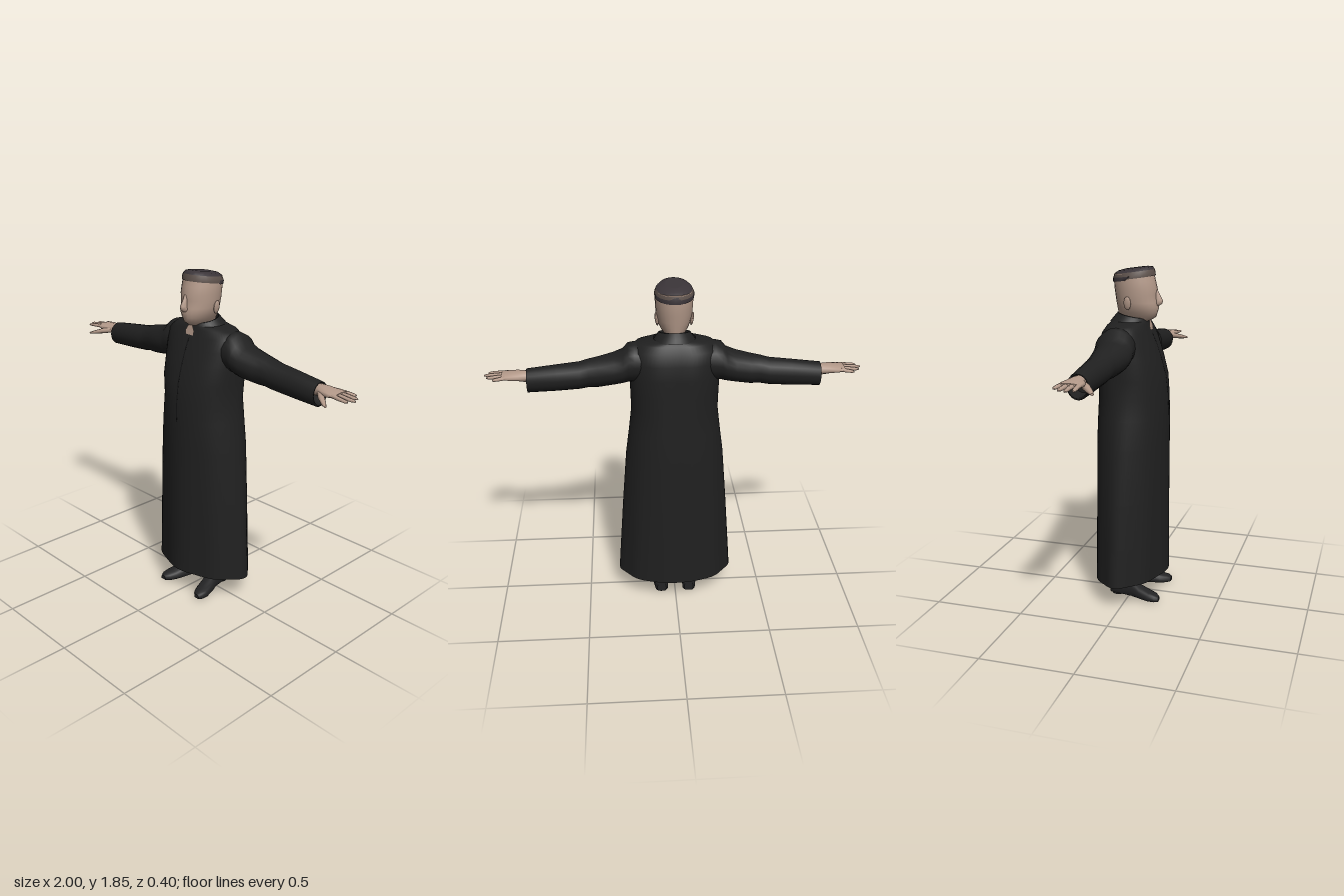
import * as THREE from 'three';

const mat = (name, color) => {
  const m = new THREE.MeshStandardMaterial({ color, side: THREE.DoubleSide });
  m.name = name;
  return m;
};

// Skin a list of closed rings, with optional flat caps at the ends
function loft(rings, capStart = false, capEnd = false) {
  const n = rings[0].length, pos = [], idx = [];
  rings.forEach(r => r.forEach(p => pos.push(...p)));
  for (let i = 0; i < rings.length - 1; i++) {
    for (let j = 0; j < n; j++) {
      const a = i * n + j, b = i * n + (j + 1) % n;
      idx.push(a, b, b + n, a, b + n, a + n);
    }
  }
  const cap = (ring, flip) => {
    const base = pos.length / 3;
    const c = [0, 1, 2].map(k => ring.reduce((s, p) => s + p[k], 0) / n);
    ring.forEach(p => pos.push(...p));
    pos.push(...c);
    for (let j = 0; j < n; j++) {
      const a = base + j, b = base + (j + 1) % n;
      flip ? idx.push(b, a, base + n) : idx.push(a, b, base + n);
    }
  };
  if (capStart) cap(rings[0], true);
  if (capEnd) cap(rings[rings.length - 1], false);
  const g = new THREE.BufferGeometry();
  g.setAttribute('position', new THREE.Float32BufferAttribute(pos, 3));
  g.setIndex(idx);
  g.computeVertexNormals();
  return g;
}

const around = (n, f) => Array.from({ length: n }, (_, j) => f(j / n * Math.PI * 2));
const spow = (v, e) => Math.sign(v) * Math.abs(v) ** e;

// Horizontal ring: height, half width, front z, back z
function level([y, hw, zf, zb], n, { e = 1, mid = (zf + zb) / 2, fold = () => 1, tilt = 0 } = {}) {
  return around(n, a => {
    const k = fold(a, y), c = spow(Math.cos(a), e);
    const z = mid + (c > 0 ? zf - mid : mid - zb) * c * k;
    return [hw * spow(Math.sin(a), e) * k, y + tilt * z, z];
  });
}

// Limb running outward along x: x, centre y, radius y, centre z, radius z
const limb = (rows, side, n) => rows.map(([x, cy, ry, cz, rz]) =>
  around(n, a => [side * x, cy + ry * Math.cos(a), cz + rz * Math.sin(a * side)]));

export function createModel() {
  const cloth = mat('black cloth', 0x202020);
  const seam = mat('seam black', 0x141415);
  const leather = mat('shoe leather', 0x232324);
  const skin = mat('skin', 0xb49a8a);
  const hairDark = mat('dark hair', 0x3a3438);
  const hairFade = mat('faded hair', 0x5e524c);
  const root = new THREE.Group();
  const add = (name, geo, m, parent = root) => {
    const mesh = new THREE.Mesh(geo, m);
    mesh.name = name;
    parent.add(mesh);
    return mesh;
  };

  // Long robe: pleats deepen toward the hem, with a hollow down the back
  const pleat = (a, y) => {
    const t = THREE.MathUtils.clamp((1.2 - y) / 1.0, 0, 1);
    return 1 - t * (0.05 * Math.sin(2 * a) ** 2 + 0.04 * (0.5 - 0.5 * Math.cos(8 * a)))
      - 0.07 * Math.max(0, -Math.cos(a)) ** 30;
  };
  const robe = [
    [0.135, 0.325, 0.2, -0.212], [0.35, 0.31, 0.198, -0.209], [0.6, 0.292, 0.196, -0.204],
    [0.9, 0.268, 0.195, -0.2], [1.05, 0.248, 0.195, -0.193], [1.17, 0.234, 0.19, -0.186],
    [1.27, 0.236, 0.178, -0.183], [1.37, 0.24, 0.15, -0.182], [1.45, 0.243, 0.122, -0.176],
    [1.51, 0.24, 0.095, -0.155], [1.545, 0.2, 0.08, -0.132], [1.562, 0.11, 0.074, -0.116],
  ].map((r, i) => level(r, 60, { e: i < 6 ? 0.98 : 0.88, mid: -0.02, fold: pleat, tilt: i ? 0 : 0.05 }));
  add('robe', loft(robe), cloth);

  // Stand collar, lower in front
  const collar = [[1.535, 0.125, 0.085, -0.128], [1.56, 0.104, 0.08, -0.11], [1.588, 0.084, 0.074, -0.09],
    [1.59, 0.076, 0.066, -0.084], [1.55, 0.072, 0.06, -0.082]].map(r => level(r, 28, { tilt: -0.2 }));
  add('collar', loft(collar), cloth);

  // Neck opening and front seam
  const tab = new THREE.Shape([[-0.028, 0], [0.028, 0], [0.032, 0.022], [0.012, 0.055], [-0.012, 0.055], [-0.032, 0.022]]
    .map(p => new THREE.Vector2(...p)));
  const opening = add('neckOpening', new THREE.ShapeGeometry(tab), skin);
  opening.position.set(0, 1.515, 0.098);
  opening.rotation.x = -0.2;
  const seamPath = [[1.5, 0.1], [1.45, 0.1225], [1.37, 0.1505], [1.27, 0.1785], [1.17, 0.1905], [1.05, 0.1955]];
  const seamRings = seamPath.map(([y, z]) => [[0.003, y, z], [0.003, y, z + 0.001], [-0.003, y, z + 0.001], [-0.003, y, z]]);
  add('frontSeam', loft(seamRings), seam);

  // Sleeves, hands, legs and shoes, mirrored
  for (const s of [1, -1]) {
    const label = s > 0 ? 'left' : 'right';
    const sleeve = [
      [0.13, 1.44, 0.09, -0.035, 0.095], [0.21, 1.44, 0.107, -0.035, 0.103], [0.245, 1.437, 0.102, -0.035, 0.105],
      [0.27, 1.418, 0.09, -0.033, 0.104], [0.32, 1.403, 0.084, -0.032, 0.1], [0.4, 1.388, 0.08, -0.037, 0.083],
      [0.45, 1.383, 0.075, -0.038, 0.073], [0.5, 1.372, 0.072, -0.04, 0.072], [0.62, 1.361, 0.07, -0.04, 0.063],
      [0.775, 1.348, 0.064, -0.038, 0.056], [0.775, 1.35, 0.054, -0.038, 0.047], [0.7, 1.355, 0.05, -0.038, 0.045],
    ];
    add(label + 'Sleeve', loft(limb(sleeve, s, 20), false, true), cloth);

    const hand = new THREE.Group();
    hand.name = label + 'Hand';
    root.add(hand);
    const palm = [
      [0.7, 1.365, 0.03, -0.038, 0.034], [0.78, 1.372, 0.03, -0.036, 0.037], [0.82, 1.375, 0.025, -0.032, 0.052],
      [0.87, 1.377, 0.018, -0.032, 0.06], [0.905, 1.378, 0.012, -0.033, 0.055],
    ];
    add('palm', loft(limb(palm, s, 12), true, true), skin, hand);
    // Fingers: base z, tip x, tip z
    [[-0.074, 0.95, -0.088], [-0.047, 0.985, -0.052], [-0.019, 1.0, -0.016], [0.009, 0.98, 0.018]].forEach(([z0, x1, z1], i) => {
      const rows = [0, 0.45, 0.85, 1].map((t, k) => {
        const r = [0.014, 0.013, 0.0105, 0.005][k];
        return [0.885 + (x1 - 0.885) * t, 1.378 - 0.006 * t, r * 0.75, z0 + (z1 - z0) * t, r];
      });
      add('finger' + (i + 1), loft(limb(rows, s, 8), true, true), skin, hand);
    });
    const thumb = [[0.79, 1.37, 0.018, -0.015, 0.02], [0.83, 1.362, 0.016, 0.022, 0.024],
      [0.87, 1.352, 0.012, 0.054, 0.018], [0.9, 1.345, 0.006, 0.076, 0.008]];
    add('thumb', loft(limb(thumb, s, 8), true, true), skin, hand);

    const leg = [[0.06, 0.042, 0.0, -0.1], [0.13, 0.052, 0.015, -0.105], [0.6, 0.07, 0.06, -0.1]]
      .map(r => level(r, 14).map(([x, y, z]) => [x + s * 0.088, y, z]));
    add(label + 'Trouser', loft(leg, true, true), cloth);
    // Shoe along z: z, centre x, half width, top height
    const shoe = [[-0.112, 0.08, 0.026, 0.07], [-0.1, 0.08, 0.038, 0.1], [-0.03, 0.086, 0.043, 0.115],
      [0.02, 0.097, 0.041, 0.1], [0.07, 0.113, 0.046, 0.07], [0.13, 0.13, 0.046, 0.052], [0.165, 0.138, 0.036, 0.044],
      [0.186, 0.143, 0.018, 0.032]].map(([z, cx, hw, top]) => around(16, a =>
      [s * cx - hw * spow(Math.sin(a), 0.7), Math.max(0.008, top * (0.4 + 0.6 * Math.cos(a))), z]));
    add(label + 'Shoe', loft(shoe, true, true), leather);
    const heel = add(label + 'Heel', new THREE.CylinderGeometry(0.034, 0.034, 0.02, 12), leather);
    heel.position.set(s * 0.082, 0.01, -0.07);
  }

  // Head and neck
  const head = [
    [1.5, 0.05, 0.055, -0.078], [1.555, 0.048, 0.06, -0.082], [1.567, 0.045, 0.095, -0.083], [1.585, 0.057, 0.122, -0.085],
    [1.61, 0.073, 0.129, -0.088], [1.635, 0.084, 0.135, -0.092], [1.66, 0.091, 0.13, -0.096], [1.7, 0.096, 0.124, -0.102],
    [1.73, 0.098, 0.126, -0.106], [1.77, 0.1, 0.116, -0.109], [1.81, 0.096, 0.106, -0.108],
  ].map(r => level(r, 24));
  add('head', loft(head, false, true), skin);
  const nose = [[1.643, 0.014, 0.138, 0.1], [1.655, 0.02, 0.155, 0.1], [1.672, 0.017, 0.158, 0.1],
    [1.7, 0.012, 0.142, 0.1], [1.73, 0.009, 0.127, 0.1]].map(r => level(r, 10));
  add('nose', loft(nose, true, true), skin);
  for (const s of [1, -1]) {
    const ear = add(s > 0 ? 'leftEar' : 'rightEar', new THREE.SphereGeometry(1, 10, 8), skin);
    ear.scale.set(0.009, 0.036, 0.02);
    ear.position.set(s * 0.092, 1.66, -0.012);
    ear.rotation.z = -s * 0.15;
  }

  // Short hair: faded band below, dark crown above, rising to the front
  const hair = rows => rows.map(r => level(r, 24, { tilt: 0.13 }));
  const band = hair([[1.786, 0.102, 0.114, -0.112], [1.802, 0.102, 0.113, -0.113], [1.82, 0.094, 0.108, -0.108]]);
  add('hairBand', loft(band), hairFade);
  add('hairCrown', loft(hair([[1.82, 0.094, 0.108, -0.108], [1.834, 0.076, 0.1, -0.088], [1.84, 0.045, 0.075, -0.05]]), false, true), hairDark);
  // Darker back half of the band, a thin shell over it
  const backShell = band.map(r => r.map(([x, y, z]) => [x * (z > 0 ? 0.8 : 1.015), y - (z > 0 ? 0 : 0.006), Math.min(z, 0) * 1.015]));
  add('hairBack', loft(backShell), hairDark);
  return root;
}
